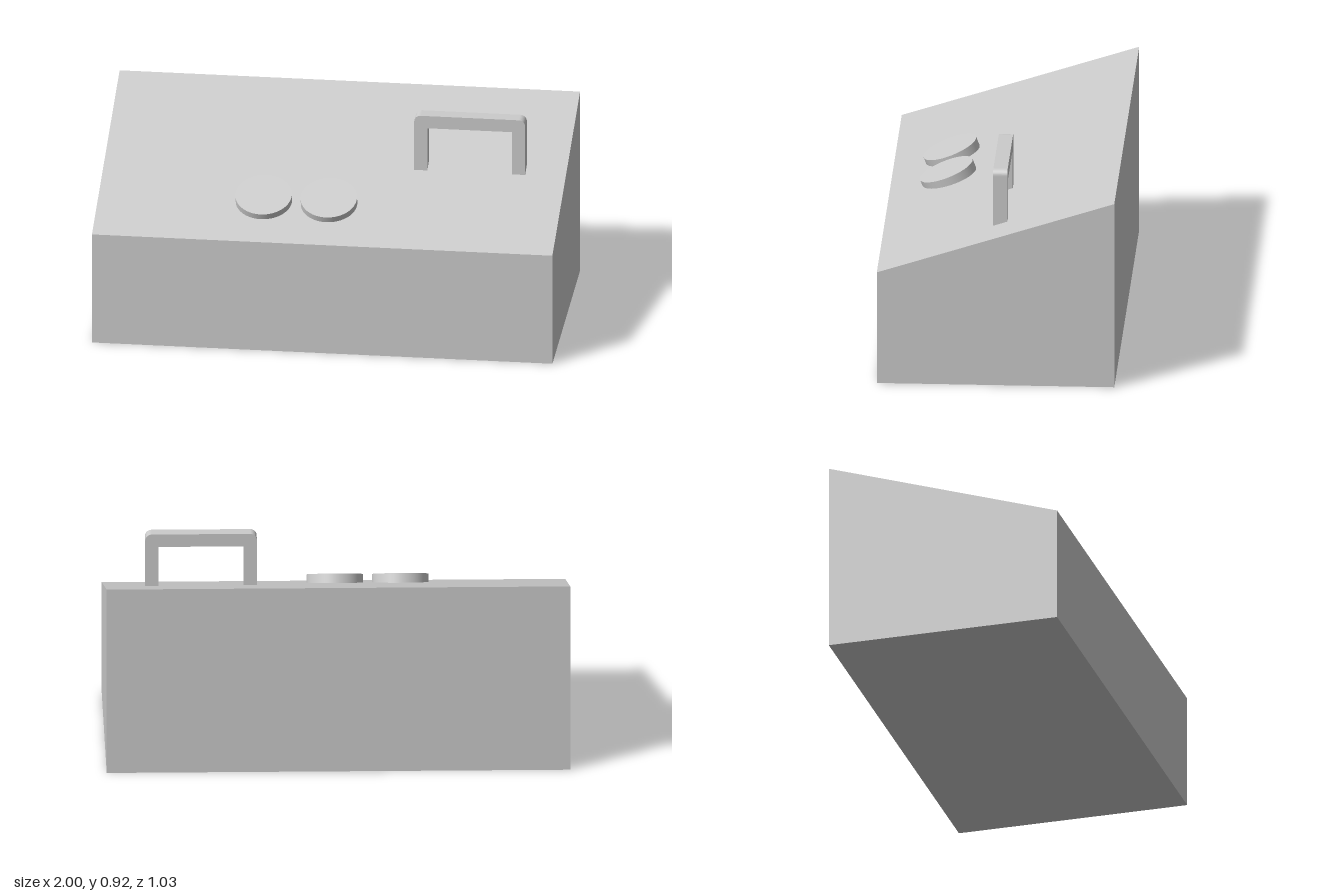
import * as THREE from 'three';

const material = new THREE.MeshStandardMaterial({ color: 0xcccccc });

function addMesh(group, name, geometry) {
  const mesh = new THREE.Mesh(geometry, material);
  mesh.name = name;
  group.add(mesh);
  return mesh;
}

export function createModel() {
  const model = new THREE.Group();
  model.name = 'slopedConsole';

  // Wedge body: side profile (depth, height) extruded across the width
  const profile = new THREE.Shape([
    [-0.513, 0], [0.513, 0], [0.513, 0.84], [-0.513, 0.507],
  ].map(([d, y]) => new THREE.Vector2(d, y)));
  const body = new THREE.ExtrudeGeometry(profile, { depth: 2, bevelEnabled: false });
  body.translate(0, 0, -1).rotateY(Math.PI / 2);
  addMesh(model, 'body', body);

  // Two round buttons, tilted slightly steeper than the sloped top
  const tilt = 0.37, radius = 0.122, thickness = 0.044;
  [[-0.283, 'rightButton'], [0, 'leftButton']].forEach(([x, name]) => {
    const geometry = new THREE.CylinderGeometry(radius, radius, thickness, 48);
    geometry.translate(0, -thickness / 2, 0);
    const button = addMesh(model, name, geometry);
    button.position.set(x, 0.624, 0.2665);
    button.rotation.x = tilt;
  });

  // Handle: square-section arch with rounded outer corners, feet sunk in the slope
  const x0 = 0.342, x1 = 0.824, foot = 0.655, top = 0.922, bar = 0.057, r = 0.028;
  const arch = new THREE.Shape();
  arch.moveTo(x0, foot);
  arch.lineTo(x0 + bar, foot);
  arch.lineTo(x0 + bar, top - bar);
  arch.lineTo(x1 - bar, top - bar);
  arch.lineTo(x1 - bar, foot);
  arch.lineTo(x1, foot);
  arch.lineTo(x1, top - r);
  arch.absarc(x1 - r, top - r, r, 0, Math.PI / 2, false);
  arch.lineTo(x0 + r, top);
  arch.absarc(x0 + r, top - r, r, Math.PI / 2, Math.PI, false);
  arch.closePath();
  const handle = new THREE.ExtrudeGeometry(arch, { depth: 0.062, bevelEnabled: false, curveSegments: 6 });
  handle.translate(0, 0, -0.042);
  addMesh(model, 'handle', handle);

  return model;
}
